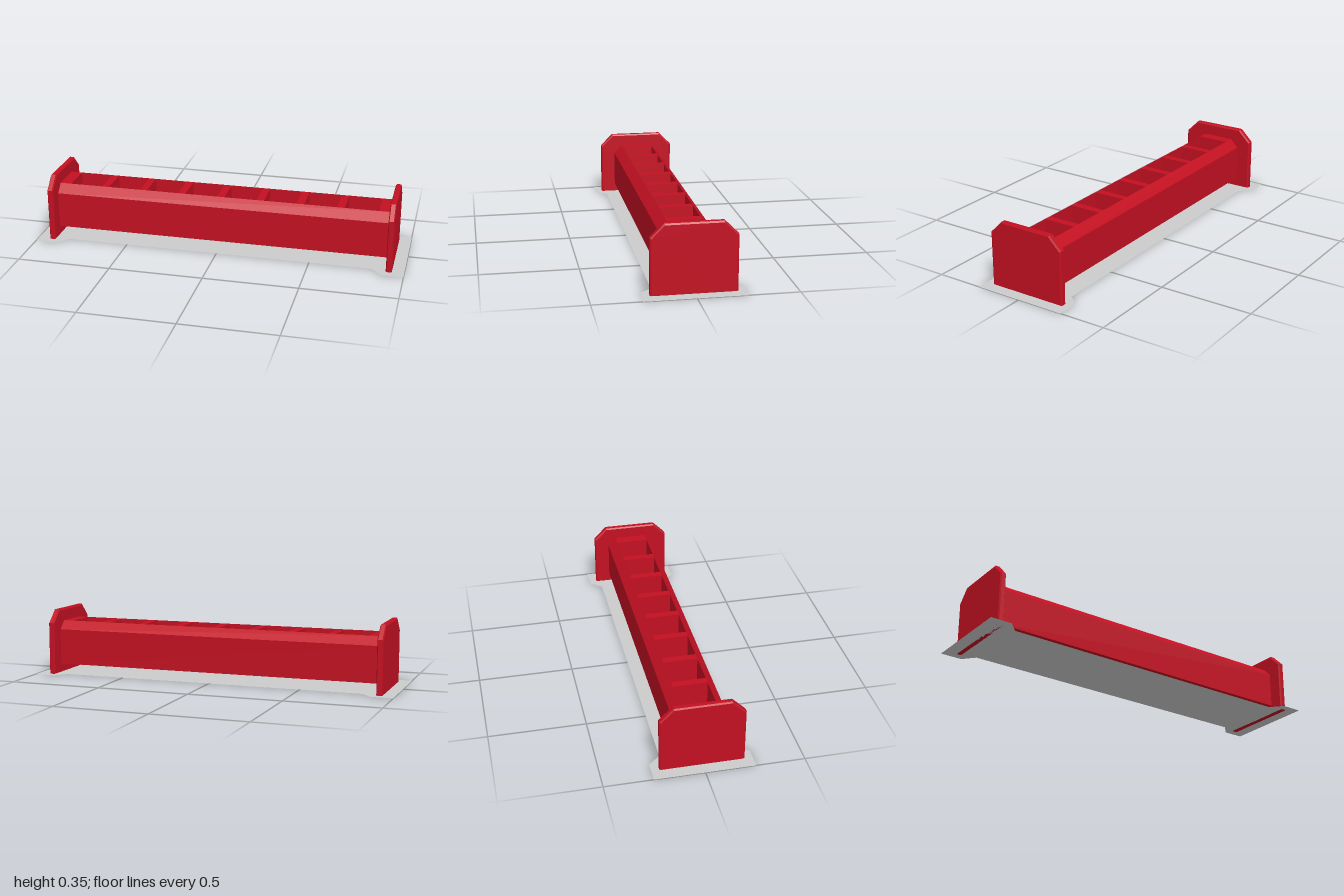
import * as THREE from 'three';

const red = new THREE.MeshStandardMaterial({ color: 0xc41022, flatShading: true });
const grey = new THREE.MeshStandardMaterial({ color: 0xcccccc, side: THREE.DoubleSide });

const shapeOf = (pts) => new THREE.Shape(pts.map(([a, b]) => new THREE.Vector2(a, b)));

// Adds the mirror image of a half outline, closing it symmetrically
const mirrored = (half) => [...half, ...half.map(([a, b]) => [-a, b]).reverse()];

// Extrudes a (z, y) outline along x, centred on x = 0
function extrudeAlongX(points, length, options = {}) {
  const geo = new THREE.ExtrudeGeometry(shapeOf(points), { depth: length, bevelEnabled: false, ...options });
  return geo.translate(0, 0, -length / 2).rotateY(Math.PI / 2);
}

export function createModel() {
  const model = new THREE.Group();
  const add = (name, geometry, material, x = 0, y = 0, z = 0) => {
    const mesh = new THREE.Mesh(geometry, material);
    mesh.name = name;
    mesh.position.set(x, y, z);
    model.add(mesh);
  };

  // Flat ground sheet, widened at both ends
  const side = [[1, 0.254], [0.885, 0.254], [0.83, 0.192]];
  const edge = mirrored(side);
  const sheet = [...edge, ...edge.map(([x, z]) => [x, -z]).reverse()];
  add('groundSheet', new THREE.ShapeGeometry(shapeOf(sheet)).rotateX(-Math.PI / 2), grey);

  // Raised trough with sloping shoulders and an open top
  const floorY = 0.09, topY = 0.285, inner = 0.088, halfLength = 0.907;
  const trough = mirrored([[0.133, 0.046], [0.133, 0.24], [inner, topY], [inner, floorY]]);
  add('trough', extrudeAlongX(trough, halfLength * 2), red);

  // Cross dividers, plus a block against each end
  const block = (name, x, width) => add(name,
    new THREE.BoxGeometry(width, topY - floorY, inner * 2), red, x, (topY + floorY) / 2, 0);
  for (let i = -3; i <= 3; i++) block('divider', i * 0.215, 0.04);
  for (const s of [-1, 1]) block('endBlock', s * 0.875, 0.064);

  // End panels with clipped upper corners and bevelled rims, cut flat at the ground
  const bevel = 0.008, thin = 0.005;
  const panelGeo = extrudeAlongX(
    mirrored([[0.213 - bevel, 0], [0.213 - bevel, 0.28], [0.141, 0.352 - bevel]]),
    0.032 - 2 * thin,
    { bevelEnabled: true, bevelSize: bevel, bevelThickness: thin, bevelSegments: 1 });
  const pos = panelGeo.attributes.position;
  for (let i = 0; i < pos.count; i++) pos.setY(i, Math.max(0, pos.getY(i)));
  panelGeo.computeVertexNormals();
  add('leftEndPanel', panelGeo, red, 0.92);
  add('rightEndPanel', panelGeo, red, -0.92);

  return model;
}
